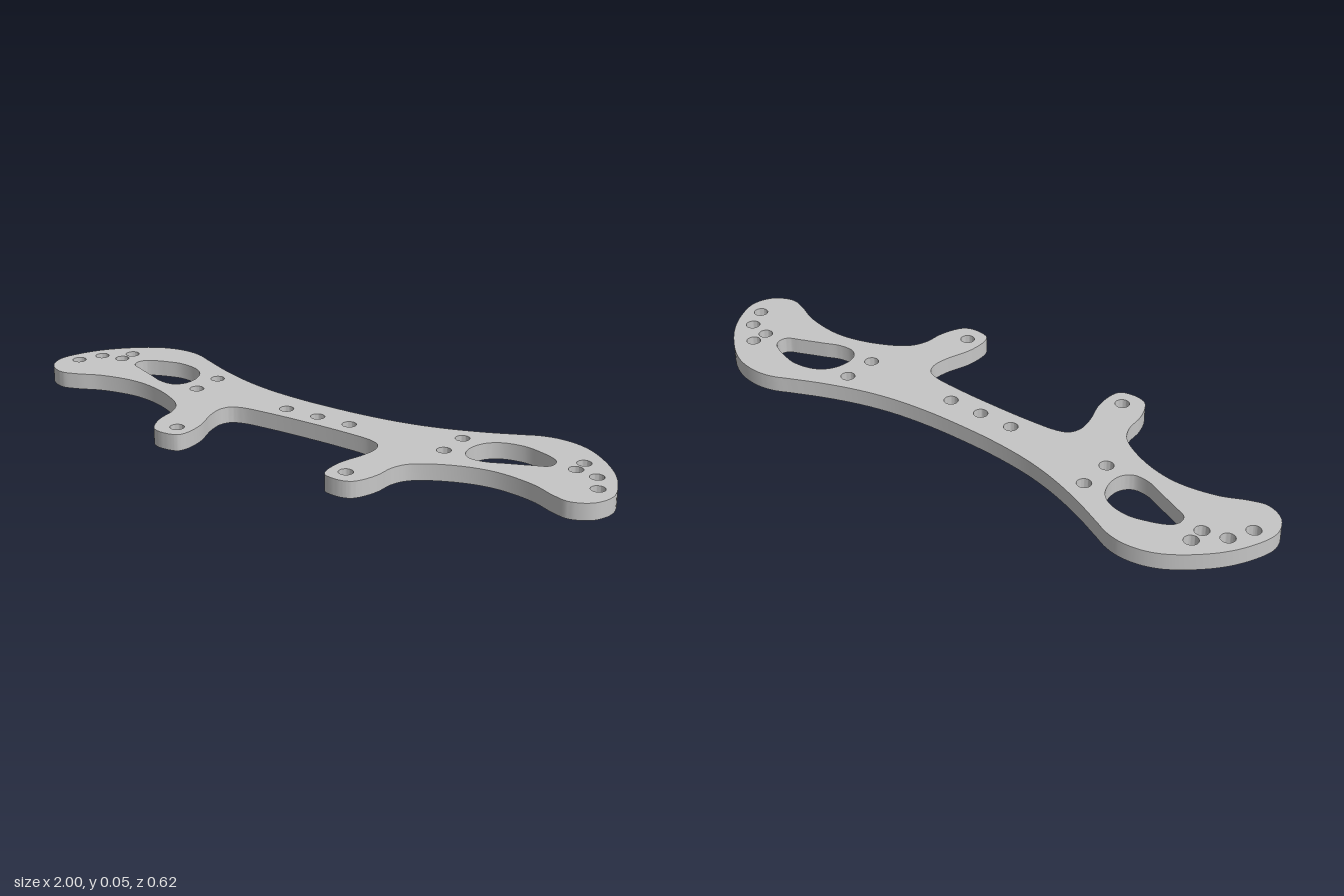
import * as THREE from 'three';
import { toCreasedNormals } from 'three/addons/utils/BufferGeometryUtils.js';

const THICKNESS = 0.052;

// Smooth closed loop through [x, z] points, returned in shape space (y = -z)
function smoothLoop(points, divisions) {
  const curve = new THREE.CatmullRomCurve3(
    points.map(([x, z]) => new THREE.Vector3(x, -z, 0)), true, 'centripetal');
  return curve.getPoints(divisions).slice(0, -1).map((p) => new THREE.Vector2(p.x, p.y));
}

const mirror = (points) => points.map(([x, z]) => [-x, z]);

export function createModel() {
  const grey = new THREE.MeshStandardMaterial({ color: 0xc6c6c6 });
  grey.name = 'plate grey';

  // Left half of the outline, from back centre round to front centre
  const half = [
    [0.12, -0.149], [0.25, -0.163], [0.36, -0.188], [0.48, -0.23], [0.58, -0.275],
    [0.635, -0.3], [0.69, -0.31], [0.76, -0.301], [0.825, -0.27], [0.92, -0.185], [0.975, -0.1],
    [1.0, -0.015], [0.975, 0.05], [0.915, 0.081], [0.86, 0.068], [0.78, 0.033],
    [0.65, 0.014], [0.53, 0.04], [0.425, 0.1], [0.396, 0.15], [0.388, 0.22],
    [0.37, 0.272], [0.352, 0.297], [0.325, 0.308], [0.285, 0.307], [0.261, 0.297],
    [0.25, 0.27], [0.252, 0.2],
    [0.278, 0.115], [0.283, 0.06], [0.268, 0.028], [0.235, 0.012], [0.12, 0.002],
  ];
  // Joined counter-clockwise, so the walls of the holes face into them
  const outline = [[0, -0.146], ...mirror(half), [0, 0], ...[...half].reverse()];
  const shape = new THREE.Shape(smoothLoop(outline, 420));

  // Rounded lightening window in each wing
  const windowLoop = [
    [0.766, -0.13], [0.757, -0.155], [0.732, -0.172], [0.69, -0.188], [0.635, -0.2],
    [0.565, -0.187], [0.525, -0.153], [0.508, -0.1], [0.515, -0.058], [0.542, -0.033],
    [0.592, -0.034], [0.645, -0.056], [0.72, -0.088], [0.757, -0.106],
  ];
  for (const loop of [windowLoop, mirror(windowLoop)]) {
    shape.holes.push(new THREE.Path(smoothLoop(loop, 80)));
  }

  // Round bolt holes, mirrored on both sides, plus one in the middle
  const bolts = [
    [0.115, -0.058], [0.452, -0.153], [0.452, -0.043], [0.832, -0.184],
    [0.832, -0.13], [0.905, -0.114], [0.942, -0.041], [0.302, 0.25],
  ];
  for (const [x, z] of [[0, -0.058], ...bolts, ...mirror(bolts)]) {
    shape.holes.push(new THREE.Path().absarc(x, -z, 0.022, 0, Math.PI * 2, true));
  }

  // Flat plate laid on the ground
  const geometry = new THREE.ExtrudeGeometry(shape, {
    depth: THICKNESS, bevelEnabled: false, curveSegments: 24,
  });
  geometry.rotateX(-Math.PI / 2);
  const plate = new THREE.Mesh(toCreasedNormals(geometry, Math.PI / 5), grey);
  plate.name = 'mountingPlate';

  const model = new THREE.Group();
  model.name = 'shockMountPlate';
  model.add(plate);
  return model;
}
